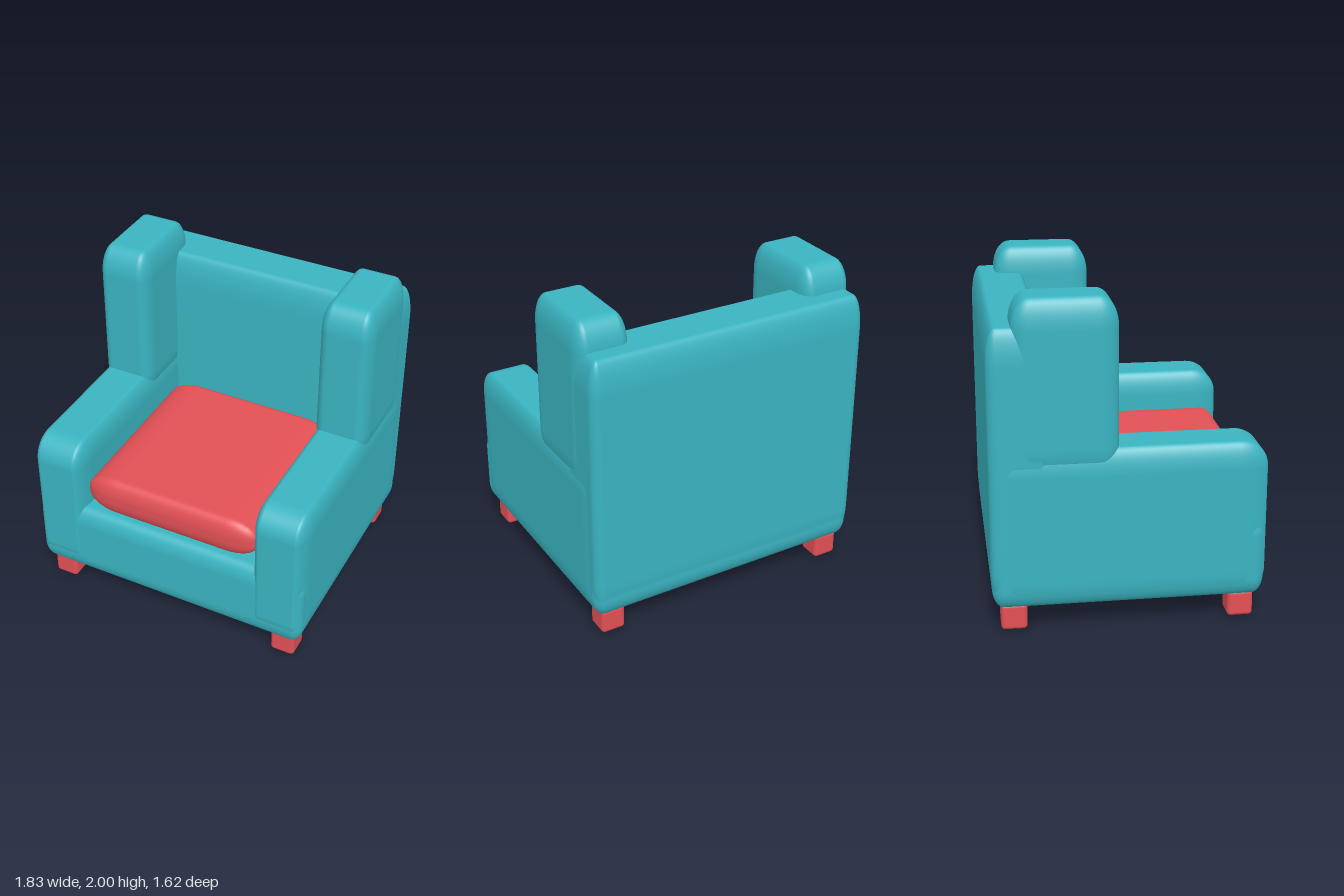
import * as THREE from 'three';
import { RoundedBoxGeometry } from 'three/addons/geometries/RoundedBoxGeometry.js';

const fabric = new THREE.MeshStandardMaterial({ color: 0x3ab4c1 });
fabric.name = 'teal fabric';
const accent = new THREE.MeshStandardMaterial({ color: 0xe15055 });
accent.name = 'coral red';

// Padded block between two corners, with its own edge radius along each axis
function block(name, material, min, max, radii) {
  const size = max.map((v, i) => v - min[i]);
  const [w, h, d] = size.map((s, i) => s / radii[i]);
  const geometry = new RoundedBoxGeometry(w, h, d, 6, 1);
  geometry.scale(...radii);
  const mesh = new THREE.Mesh(geometry, material);
  mesh.name = name;
  mesh.position.set(...min.map((v, i) => v + size[i] / 2));
  return mesh;
}

export function createModel() {
  const chair = new THREE.Group();
  chair.name = 'armchair';

  // Body
  chair.add(
    block('seatBase', fabric, [-0.91, 0.15, -0.805], [0.91, 0.655, 0.81], [0.07, 0.12, 0.07]),
    block('backrest', fabric, [-0.91, 0.16, -0.81], [0.91, 1.835, -0.455], [0.06, 0.22, 0.06]),
    block('seatCushion', accent, [-0.58, 0.65, -0.44], [0.58, 0.91, 0.76], [0.2, 0.115, 0.07])
  );

  // Mirrored arms, wings and feet
  for (const [side, s] of [['left', 1], ['right', -1]]) {
    const pair = (name, material, x0, x1, y, z, radii) => chair.add(block(
      side + name, material,
      [Math.min(s * x0, s * x1), y[0], z[0]],
      [Math.max(s * x0, s * x1), y[1], z[1]], radii));

    pair('Arm', fabric, 0.575, 0.915, [0.155, 1.12], [-0.805, 0.815], [0.06, 0.16, 0.16]);
    pair('Wing', fabric, 0.575, 0.915, [0.95, 2], [-0.665, -0.06], [0.07, 0.18, 0.11]);
    pair('FrontFoot', accent, 0.7, 0.855, [0, 0.165], [0.6, 0.755], [0.025, 0.025, 0.025]);
    pair('BackFoot', accent, 0.7, 0.855, [0, 0.165], [-0.755, -0.6], [0.025, 0.025, 0.025]);
  }
  return chair;
}
